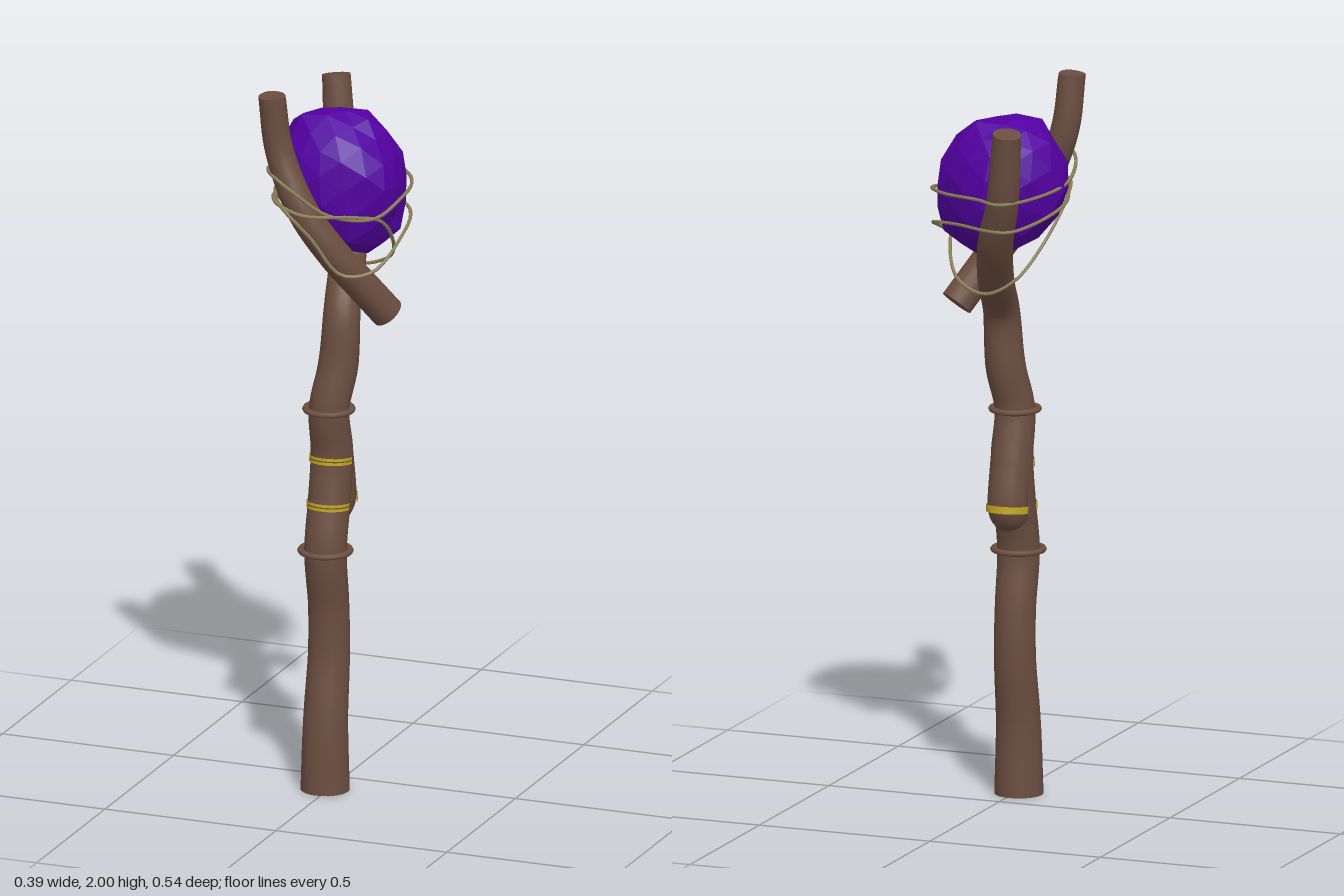
import * as THREE from 'three';

const V = (p) => new THREE.Vector3(p[0], p[1], p[2]);

// Round limb through [x, y, z, radius] stations, with flat caps
function limb(name, stations, material, steps = 40, sides = 18) {
  const curve = new THREE.CatmullRomCurve3(stations.map(V));
  const frames = curve.computeFrenetFrames(steps, false);
  const pos = [], idx = [], centre = new THREE.Vector3(), p = new THREE.Vector3();
  const ring = (i) => {
    const u = i / steps;
    curve.getPointAt(u, centre);
    const t = curve.getUtoTmapping(u) * (stations.length - 1);
    const k = Math.min(Math.floor(t), stations.length - 2);
    const r = THREE.MathUtils.lerp(stations[k][3], stations[k + 1][3], t - k);
    for (let j = 0; j < sides; j++) {
      const a = (j / sides) * Math.PI * 2;
      p.copy(centre)
        .addScaledVector(frames.normals[i], Math.cos(a) * r)
        .addScaledVector(frames.binormals[i], Math.sin(a) * r);
      pos.push(p.x, THREE.MathUtils.clamp(p.y, 0, 2), p.z);
    }
  };
  for (let i = 0; i <= steps; i++) ring(i);
  for (let i = 0; i < steps; i++) {
    for (let j = 0; j < sides; j++) {
      const a = i * sides + j, b = i * sides + ((j + 1) % sides);
      idx.push(a, b, a + sides, b, b + sides, a + sides);
    }
  }
  // End caps use their own vertices so the rims stay sharp
  for (const end of [0, steps]) {
    const base = pos.length / 3;
    ring(end);
    for (let j = 1; j < sides - 1; j++) {
      if (end) idx.push(base, base + j, base + j + 1);
      else idx.push(base, base + j + 1, base + j);
    }
  }
  const g = new THREE.BufferGeometry();
  g.setAttribute('position', new THREE.Float32BufferAttribute(pos, 3));
  g.setIndex(idx);
  g.computeVertexNormals();
  const m = new THREE.Mesh(g, material);
  m.name = name;
  return m;
}

// Flattened wooden collar round the shaft
function collar(name, y, z, radius, material) {
  const m = new THREE.Mesh(new THREE.TorusGeometry(radius, 0.01, 8, 28), material);
  m.rotation.x = Math.PI / 2;
  m.scale.z = 0.8;
  m.position.set(-0.01, y, z);
  m.name = name;
  return m;
}

// Thin half band on the surface; start is the angle from the front
function band(name, y, z, radius, height, start, tilt, material) {
  const g = new THREE.CylinderGeometry(radius, radius, height, 20, 1, true, start, Math.PI);
  const m = new THREE.Mesh(g, material);
  m.rotation.x = tilt;
  m.position.set(-0.01, y, z);
  m.name = name;
  return m;
}

// Closed loop of cord
function cord(name, points, material) {
  const curve = new THREE.CatmullRomCurve3(points.map(V), true);
  const m = new THREE.Mesh(new THREE.TubeGeometry(curve, 64, 0.005, 6, true), material);
  m.name = name;
  return m;
}

// Rough faceted stone, leaning so that its foot points to +x
function stone(material) {
  const g = new THREE.IcosahedronGeometry(1, 2);
  const a = g.attributes.position, v = new THREE.Vector3();
  for (let i = 0; i < a.count; i++) {
    v.fromBufferAttribute(a, i);
    const bump = 1 + 0.045 * Math.sin(5 * v.x + 3 * v.y) * Math.cos(4 * v.z - 2 * v.y)
      + 0.03 * Math.sin(7 * v.z + 4 * v.x + 1);
    v.multiplyScalar(bump);
    const low = Math.max(0, -v.y);
    a.setXYZ(i,
      v.x * 0.182 - v.y * 0.018 + low * low * 0.03,
      Math.min(v.y * 0.2, 0.188),
      v.z * 0.147 + low * low * 0.02);
  }
  g.computeVertexNormals();
  const m = new THREE.Mesh(g, material);
  m.position.set(-0.008, 1.722, 0.01);
  m.name = 'orb';
  return m;
}

export function createModel() {
  const wood = new THREE.MeshStandardMaterial({ color: 0x6b4e40 });
  wood.name = 'brown wood';
  const gem = new THREE.MeshStandardMaterial({ color: 0x5200a0, flatShading: true });
  gem.name = 'purple stone';
  const gold = new THREE.MeshStandardMaterial({ color: 0xc0a41e, side: THREE.DoubleSide });
  gold.name = 'gold';
  const twine = new THREE.MeshStandardMaterial({ color: 0x8a8058 });
  twine.name = 'olive twine';

  const group = new THREE.Group();
  group.name = 'staff';

  // Crooked shaft, running on into the back prong
  group.add(limb('shaft', [
    [-0.01, 0, 0.116, 0.067], [-0.01, 0.2, 0.112, 0.061], [-0.01, 0.38, 0.088, 0.057],
    [-0.01, 0.52, 0.09, 0.056], [-0.01, 0.68, 0.113, 0.058], [-0.01, 0.82, 0.085, 0.058],
    [-0.01, 0.95, 0.066, 0.058], [-0.01, 1.08, 0.087, 0.055], [0.008, 1.2, 0.065, 0.055],
    [0.012, 1.36, 0.045, 0.05], [-0.01, 1.47, -0.05, 0.05], [-0.05, 1.6, -0.15, 0.049],
    [-0.09, 1.72, -0.2, 0.045], [-0.118, 1.925, -0.235, 0.039],
  ], wood, 80));

  // Front prong, crossing the fork
  group.add(limb('frontProng', [
    [0.15, 1.365, 0.06, 0.046], [0.095, 1.46, 0.12, 0.046], [0.04, 1.55, 0.172, 0.045],
    [-0.04, 1.68, 0.208, 0.043], [-0.11, 1.84, 0.2, 0.039], [-0.127, 2, 0.213, 0.037],
  ], wood));

  // Swelling on the back of the shaft, tucked in below its edge
  group.add(limb('stub', [
    [-0.01, 1.06, 0.082, 0.05], [-0.01, 0.94, 0.056, 0.055],
    [-0.01, 0.81, 0.037, 0.055], [-0.01, 0.785, 0.06, 0.05],
  ], wood, 30));

  // Wooden collars and gold bands
  group.add(collar('lowerCollar', 0.683, 0.113, 0.067, wood));
  group.add(collar('upperCollar', 1.08, 0.088, 0.063, wood));
  for (const [y, z] of [[0.802, 0.0905], [0.813, 0.0885], [0.928, 0.0705], [0.939, 0.069]]) {
    group.add(band('frontBand', y, z, 0.0605, 0.008, -Math.PI / 2, -0.1, gold));
  }
  group.add(band('stubBand', 0.812, 0.037, 0.0595, 0.02, Math.PI / 2, 0.12, gold));

  group.add(stone(gem));

  // Twine slung between the prongs and the orb
  group.add(cord('upperTwine', [
    [-0.1, 1.775, 0.25], [-0.155, 1.77, 0.17], [-0.19, 1.74, 0.02], [-0.16, 1.73, -0.15],
    [-0.1, 1.73, -0.258], [-0.03, 1.73, -0.22], [0.1, 1.72, -0.145], [0.178, 1.71, -0.05],
    [0.183, 1.69, 0.06], [0.145, 1.66, 0.155], [0.04, 1.675, 0.215], [-0.05, 1.745, 0.255],
  ], twine));
  group.add(cord('middleTwine', [
    [-0.07, 1.69, 0.262], [-0.15, 1.69, 0.13], [-0.187, 1.68, 0], [-0.165, 1.66, -0.13],
    [-0.12, 1.65, -0.235], [-0.07, 1.65, -0.24], [0.06, 1.64, -0.155], [0.165, 1.62, -0.07],
    [0.182, 1.58, 0.04], [0.145, 1.51, 0.16], [0.07, 1.505, 0.2], [0, 1.61, 0.24],
  ], twine));
  group.add(cord('lowerTwine', [
    [-0.02, 1.68, 0.255], [0.1, 1.67, 0.19], [0.155, 1.65, 0.13], [0.155, 1.56, 0.03],
    [0.09, 1.47, -0.08], [0, 1.44, -0.105], [-0.08, 1.48, -0.09], [-0.13, 1.57, 0],
    [-0.158, 1.68, 0.1], [-0.1, 1.7, 0.24],
  ], twine));

  return group;
}
